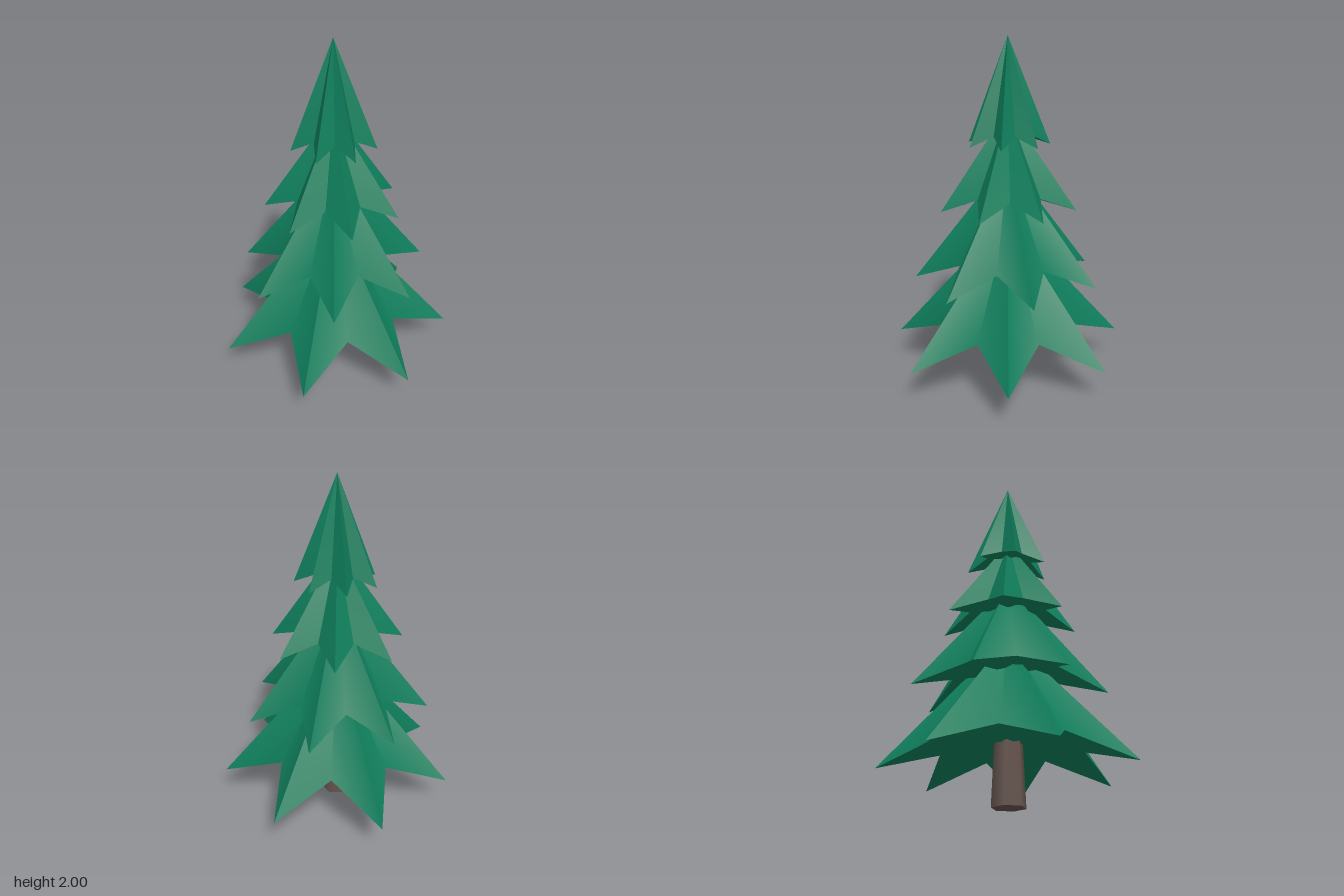
import * as THREE from 'three';
import { toCreasedNormals } from 'three/addons/utils/BufferGeometryUtils.js';

const SIDES = 7;
const CREASE = THREE.MathUtils.degToRad(50);

// Star-shaped cone: drooping tips, raised notches, hollowed underside
function starCone({ radius, tipY, notchY, apexY }, phase) {
  const ring = [];
  for (let i = 0; i < SIDES * 2; i++) {
    const a = phase + (i * Math.PI) / SIDES;
    const tip = i % 2 === 0;
    const r = tip ? radius : radius * 0.57;
    ring.push([r * Math.cos(a), tip ? tipY : notchY, r * Math.sin(a)]);
  }
  const apex = [0, apexY, 0];
  const under = [0, notchY + 0.02, 0];
  const points = [];
  ring.forEach((p, i) => {
    const q = ring[(i + 1) % ring.length];
    points.push(...apex, ...q, ...p, ...under, ...p, ...q);
  });
  const geometry = new THREE.BufferGeometry();
  geometry.setAttribute('position', new THREE.Float32BufferAttribute(points, 3));
  return toCreasedNormals(geometry, CREASE);
}

export function createModel() {
  const needleGreen = new THREE.MeshStandardMaterial({ color: 0x0f7d5b });
  needleGreen.name = 'needleGreen';
  const barkBrown = new THREE.MeshStandardMaterial({ color: 0x65544e });
  barkBrown.name = 'barkBrown';

  const tree = new THREE.Group();
  tree.name = 'pineTree';
  tree.position.set(-0.03, 0, 0.034);

  // Six-sided tapered trunk
  const trunk = new THREE.Mesh(new THREE.CylinderGeometry(0.075, 0.095, 0.45, 6), barkBrown);
  trunk.name = 'trunk';
  trunk.position.y = 0.225;
  trunk.rotation.y = Math.PI / 6;
  tree.add(trunk);

  // Branch tiers from bottom to top, each twisted a little further
  const tiers = [
    { radius: 0.695, tipY: 0.19, notchY: 0.33, apexY: 0.97 },
    { radius: 0.548, tipY: 0.61, notchY: 0.72, apexY: 1.31 },
    { radius: 0.395, tipY: 1.03, notchY: 1.11, apexY: 1.6 },
    { radius: 0.242, tipY: 1.4, notchY: 1.46, apexY: 2.0 },
  ];
  tiers.forEach((tier, i) => {
    const mesh = new THREE.Mesh(starCone(tier, -0.25 * i), needleGreen);
    mesh.name = `branchTier${i + 1}`;
    tree.add(mesh);
  });

  const model = new THREE.Group();
  model.name = 'tree';
  model.add(tree);
  return model;
}
